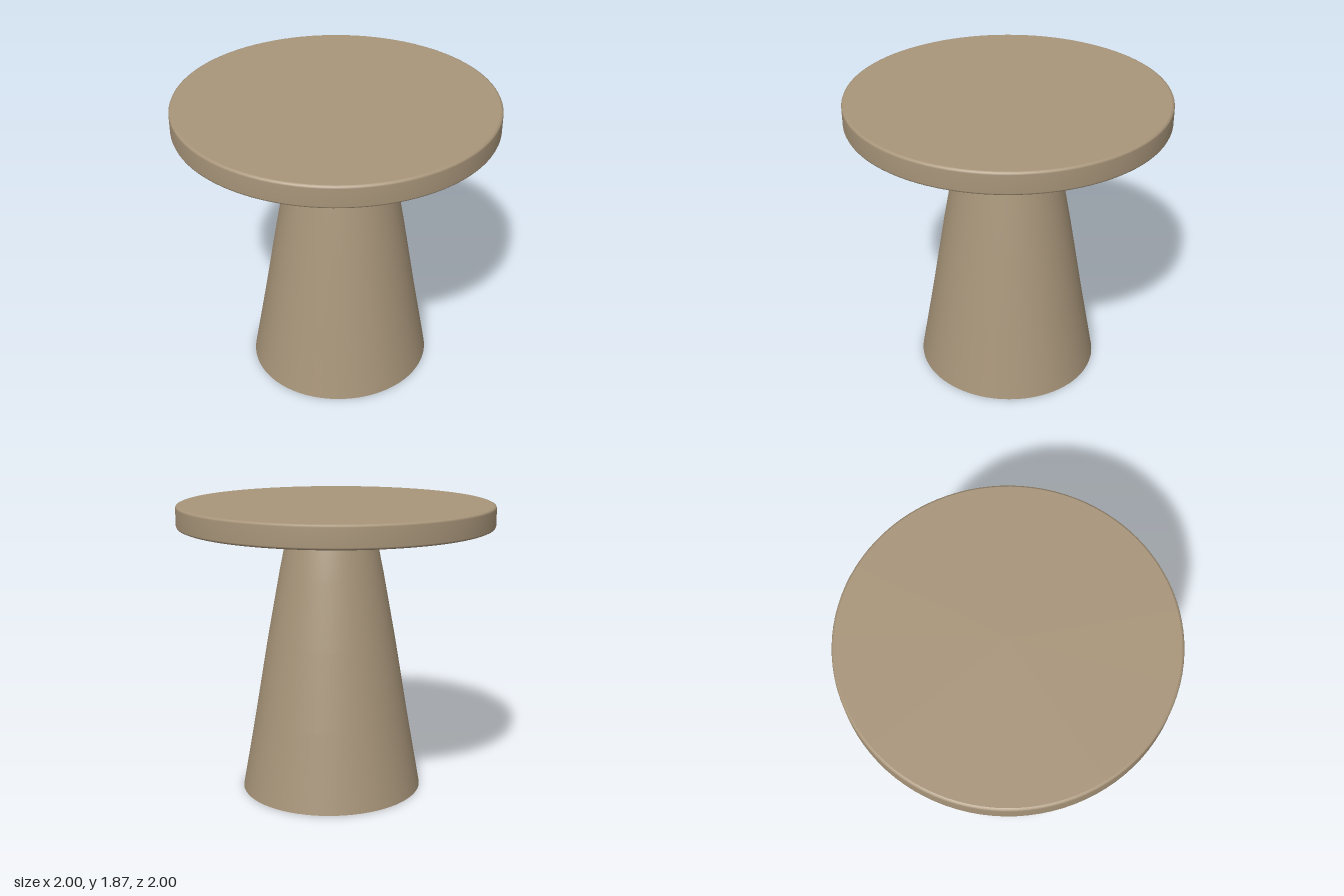
import * as THREE from 'three';

const SEGMENTS = 96;

// Lathe each stretch separately so that edges between stretches stay crisp
function turned(name, stretches, material) {
  const group = new THREE.Group();
  group.name = name;
  for (const [part, points] of Object.entries(stretches)) {
    const profile = points.map(([r, y]) => new THREE.Vector2(r, y));
    const mesh = new THREE.Mesh(new THREE.LatheGeometry(profile, SEGMENTS), material);
    mesh.name = part;
    group.add(mesh);
  }
  return group;
}

export function createModel() {
  const stone = new THREE.MeshStandardMaterial({ color: 0xa8957a });
  stone.name = 'sandstone';

  const model = new THREE.Group();
  model.name = 'pedestalTable';

  // Round slab with a slightly eased rim
  const tabletop = turned('tabletop', {
    underside: [[0, 1.73], [0.985, 1.73]],
    rim: [[0.985, 1.73], [0.996, 1.735], [1, 1.745], [1, 1.855], [0.996, 1.865], [0.985, 1.87]],
    topFace: [[0.985, 1.87], [0, 1.87]],
  }, stone);

  // Hollow tapering foot, open below and a little off centre
  const pedestal = turned('pedestal', {
    outerWall: [[0.59, 0], [0.5, 0.5], [0.415, 1], [0.335, 1.43], [0.3, 1.6], [0.285, 1.66], [0.263, 1.73]],
    innerWall: [[0.18, 1.73], [0.215, 1.6], [0.33, 1], [0.5, 0]],
    bottomRing: [[0.5, 0], [0.59, 0]],
  }, stone);
  pedestal.scale.z = 0.975;
  pedestal.position.set(0.02, 0, 0.022);

  model.add(tabletop, pedestal);
  return model;
}
